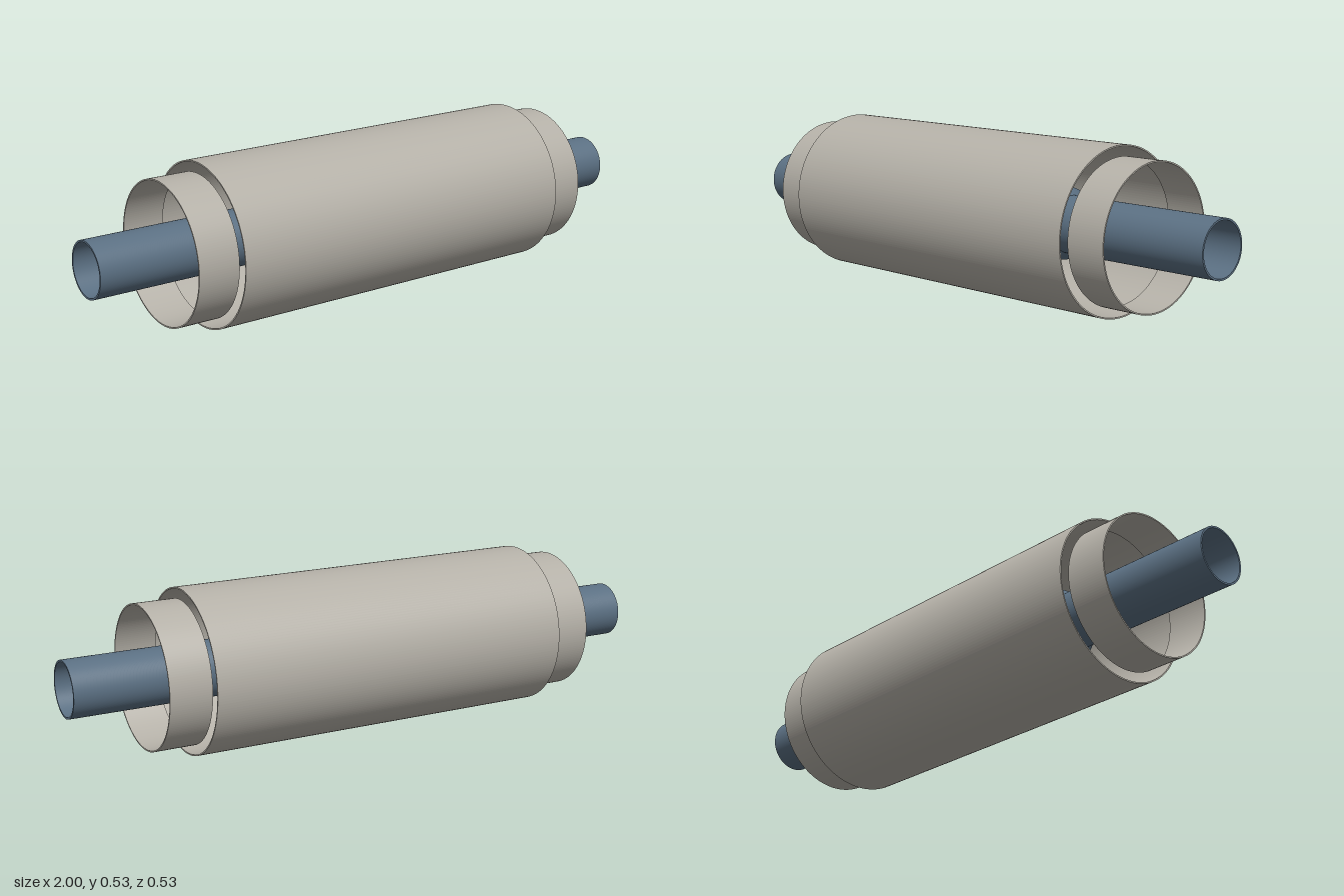
import * as THREE from 'three';

const AXIS_Y = 0.2635;
const shellMaterial = new THREE.MeshStandardMaterial({ color: 0xb5b1a8, side: THREE.DoubleSide });
const pipeMaterial = new THREE.MeshStandardMaterial({ color: 0x5b7083, side: THREE.DoubleSide });

// Hollow tube along x between x0 and x1, with crisp rims
function tube(name, outer, inner, x0, x1, material) {
  const shape = new THREE.Shape().absarc(0, 0, outer, 0, Math.PI * 2, false);
  shape.holes.push(new THREE.Path().absarc(0, 0, inner, 0, Math.PI * 2, true));
  const geometry = new THREE.ExtrudeGeometry(shape, {
    depth: x1 - x0, bevelEnabled: false, curveSegments: 96,
  });
  geometry.rotateY(Math.PI / 2).translate(x0, 0, 0);
  const mesh = new THREE.Mesh(geometry, material);
  mesh.name = name;
  return mesh;
}

export function createModel() {
  const model = new THREE.Group();
  model.name = 'nestedTubes';

  const assembly = new THREE.Group();
  assembly.name = 'tubeAssembly';
  assembly.position.y = AXIS_Y;
  model.add(assembly);

  // Large middle tube, open at both ends
  assembly.add(tube('barrelShell', 0.2635, 0.259, -0.618, 0.618, shellMaterial));

  // Short, slightly narrower ring beyond each end
  assembly.add(tube('leftEndRing', 0.229, 0.2245, 0.618, 0.755, shellMaterial));
  assembly.add(tube('rightEndRing', 0.229, 0.2245, -0.755, -0.618, shellMaterial));

  // Thin pipe through the whole length
  assembly.add(tube('centrePipe', 0.09, 0.084, -1, 1, pipeMaterial));

  // Wider middle section of the pipe
  assembly.add(tube('pipeSleeve', 0.113, 0.09, -0.4, 0.4, pipeMaterial));

  // Tapered shoulder from the sleeve down to the pipe, at each end
  for (const side of [1, -1]) {
    const geometry = new THREE.CylinderGeometry(0.09, 0.113, 0.02, 96, 1, true);
    const shoulder = new THREE.Mesh(geometry, pipeMaterial);
    shoulder.name = side > 0 ? 'leftSleeveShoulder' : 'rightSleeveShoulder';
    shoulder.rotation.z = -side * Math.PI / 2;
    shoulder.position.x = side * 0.41;
    assembly.add(shoulder);
  }

  return model;
}
